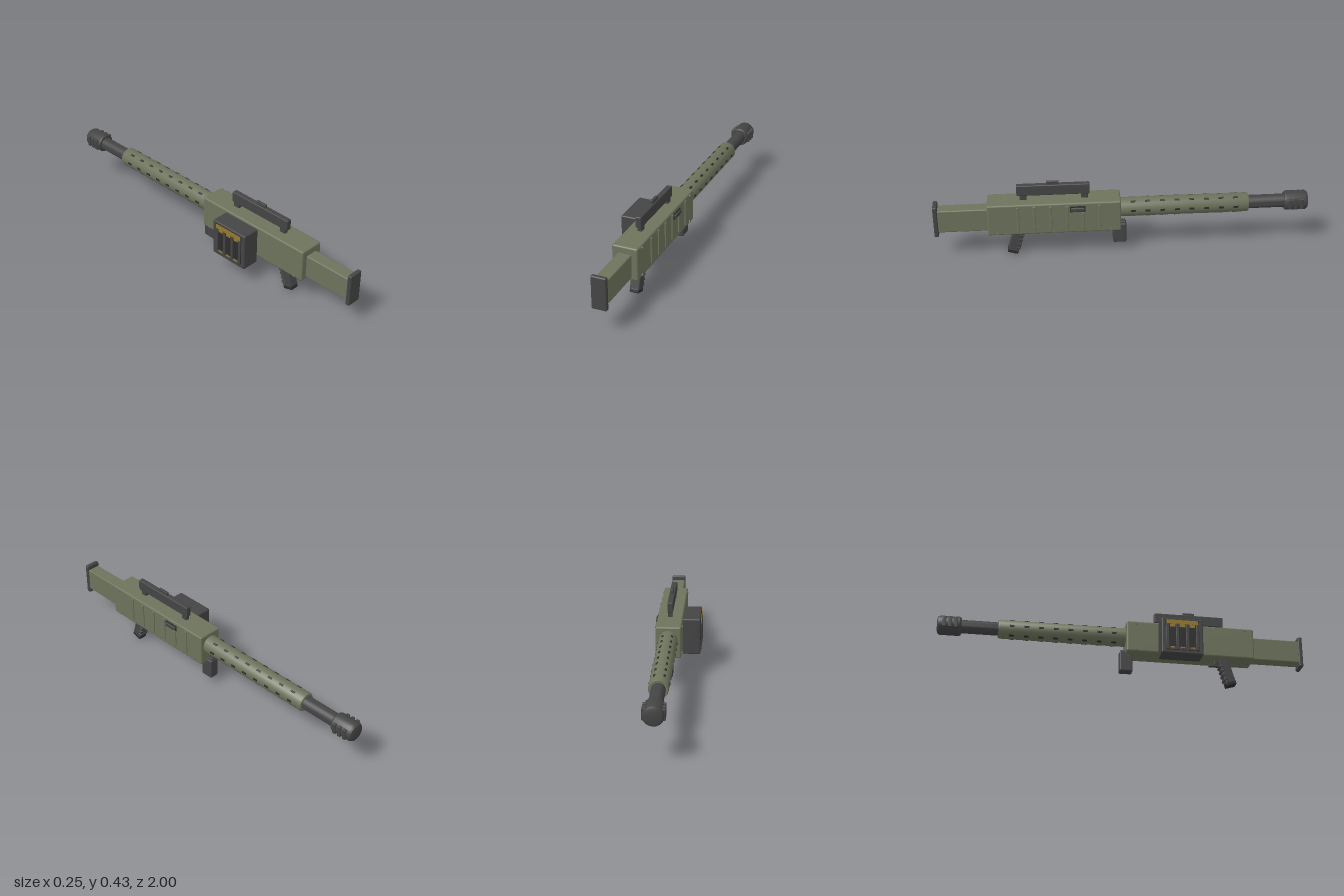
import * as THREE from 'three';
import { RoundedBoxGeometry } from 'three/addons/geometries/RoundedBoxGeometry.js';
import { toCreasedNormals } from 'three/addons/utils/BufferGeometryUtils.js';

const mat = (name, color) => {
  const m = new THREE.MeshStandardMaterial({ color });
  m.name = name;
  return m;
};

export function createModel() {
  const olive = mat('olive', 0x6d735c);
  const charcoal = mat('charcoal', 0x444444);
  const black = mat('nearBlack', 0x2c2c2c);
  const brass = mat('brass', 0x94792c);
  const model = new THREE.Group();
  const cx = 0.044, barrelY = 0.257;

  const add = (name, geo, material, parent = model) => {
    const m = new THREE.Mesh(geo, material);
    m.name = name;
    parent.add(m);
    return m;
  };
  // box given by its extents on each axis
  const box = (name, x, y, z, material, r = 0.005, parent = model) => {
    const s = [x, y, z].map(([a, b]) => b - a);
    const geo = r > 0 ? new RoundedBoxGeometry(...s, 2, r) : new THREE.BoxGeometry(...s);
    const m = add(name, geo, material, parent);
    m.position.set((x[0] + x[1]) / 2, (y[0] + y[1]) / 2, (z[0] + z[1]) / 2);
    return m;
  };
  // solid of revolution along z, profile as [radius, z] with z falling
  const turned = (name, profile, material, sides = 24) => {
    const pts = profile.map(([r, z]) => new THREE.Vector2(r, -z));
    const geo = toCreasedNormals(new THREE.LatheGeometry(pts, sides).rotateX(-Math.PI / 2), 0.6);
    const m = add(name, geo, material);
    m.position.set(cx, barrelY, 0);
    return m;
  };

  // receiver and stock
  box('receiver', [-0.025, 0.113], [0.15, 0.328], [0.01, 0.715], olive, 0.009);
  box('stock', [0.008, 0.08], [0.162, 0.291], [0.705, 0.985], olive, 0.006);
  box('buttPlate', [0.004, 0.085], [0.137, 0.316], [0.976, 1], charcoal, 0.007);

  // raised ribs on the left side
  for (let i = 0; i < 6; i++) {
    const z = 0.125 + i * 0.086;
    const low = i === 1 ? 0.275 : 0.315;
    box('sideRib', [0.108, 0.119], [0.172, low], [z - 0.008, z + 0.008], olive, 0.003);
  }
  box('chargingHandle', [0.11, 0.126], [0.281, 0.304], [0.203, 0.275], charcoal, 0.005);
  box('ejectionSlot', [0.112, 0.117], [0.277, 0.31], [0.198, 0.28], black, 0);

  // corner rivets on both sides
  for (const x of [-0.0255, 0.1135])
    for (const y of [0.163, 0.315])
      for (const z of [0.065, 0.665]) {
        const rivet = add('rivet', new THREE.CylinderGeometry(0.007, 0.007, 0.01, 10), olive);
        rivet.rotation.z = Math.PI / 2;
        rivet.position.set(x, y, z);
      }

  // shroud with six rows of vent slots
  turned('barrelShroud', [[0, 0.02], [0.051, 0.02], [0.051, -0.668], [0.047, -0.676], [0, -0.676]], olive);
  for (let row = 0; row < 6; row++) {
    const holder = new THREE.Group();
    holder.name = 'ventRow';
    holder.position.set(cx, barrelY, 0);
    holder.rotation.z = row * Math.PI / 3;
    for (let i = 0; i < 8; i++) {
      const slot = add('ventSlot', new THREE.BoxGeometry(0.006, 0.011, 0.026), black, holder);
      slot.position.set(0.0495, 0, -0.055 - i * 0.0785);
    }
    model.add(holder);
  }

  // barrel and muzzle brake
  turned('barrel', [[0, -0.66], [0.036, -0.66], [0.036, -0.885], [0, -0.885]], charcoal);
  turned('muzzleBrake', [[0, -0.872], [0.046, -0.872], [0.052, -0.88], [0.052, -0.985],
    [0.045, -0.996], [0.03, -1], [0, -1]], charcoal, 20);
  for (let i = 0; i < 3; i++) {
    const z = -0.9 - i * 0.031;
    box('muzzleFin', [cx - 0.056, cx + 0.056], [barrelY - 0.03, barrelY + 0.03],
      [z - 0.009, z + 0.009], charcoal, 0.003);
  }

  // sight rail with its posts
  box('sightBar', [0.029, 0.06], [0.353, 0.413], [0.173, 0.558], charcoal, 0.005);
  box('sightKnob', [0.038, 0.052], [0.4, 0.43], [0.335, 0.4], charcoal, 0.003);
  for (const z of [0.2, 0.524]) {
    box('sightPost', [0.033, 0.056], [0.32, 0.36], [z - 0.018, z + 0.018], charcoal, 0.003);
  }

  // side magazine with cartridge windows
  box('magazine', [-0.122, -0.022], [0.11, 0.316], [0.183, 0.409], charcoal, 0.007);
  box('magazinePanel', [-0.1235, -0.12], [0.13, 0.303], [0.205, 0.387], black, 0);
  for (let i = 0; i < 4; i++) {
    const z = 0.215 + i * 0.054;
    box('magazineStrip', [-0.128, -0.12], [0.13, 0.28], [z - 0.008, z + 0.008], charcoal, 0.003);
  }
  box('magazineSill', [-0.127, -0.12], [0.127, 0.138], [0.207, 0.385], charcoal, 0.003);
  box('cartridgeTop', [-0.127, -0.121], [0.28, 0.302], [0.21, 0.382], brass, 0);
  for (let i = 0; i < 3; i++) {
    const z = 0.242 + i * 0.054;
    box('cartridge', [-0.1255, -0.121], [0.262, 0.285], [z - 0.015, z + 0.015], brass, 0);
    box('cartridgeBase', [-0.1255, -0.121], [0.139, 0.146], [z - 0.014, z + 0.014], brass, 0);
  }

  // front grip
  box('foreGrip', [0.018, 0.07], [0.05, 0.165], [-0.022, 0.05], charcoal, 0.008);
  box('foreGripMount', [0.026, 0.062], [0.14, 0.174], [-0.017, 0.045], charcoal, 0.004);

  // tilted pistol grip with finger ridges
  const grip = new THREE.Group();
  grip.name = 'pistolGrip';
  grip.position.set(cx, 0.012, 0.592);
  grip.rotation.x = -0.29;
  model.add(grip);
  box('gripBody', [-0.026, 0.026], [0.01, 0.16], [-0.028, 0.028], charcoal, 0.006, grip);
  box('gripCap', [-0.025, 0.025], [-0.004, 0.018], [-0.029, 0.029], black, 0.005, grip);
  for (let i = 0; i < 4; i++) {
    const y = 0.036 + i * 0.026;
    box('fingerRidge', [-0.028, 0.028], [y - 0.007, y + 0.007], [-0.033, -0.01], charcoal, 0.004, grip);
  }

  // trigger and its guard
  box('guardBase', [0.034, 0.054], [0.117, 0.123], [0.473, 0.55], charcoal, 0.002);
  box('guardFront', [0.034, 0.054], [0.117, 0.155], [0.473, 0.479], charcoal, 0.002);
  const trigger = box('trigger', [0.039, 0.049], [0.127, 0.156], [0.505, 0.513], charcoal, 0.002);
  trigger.rotation.x = 0.25;

  return model;
}
